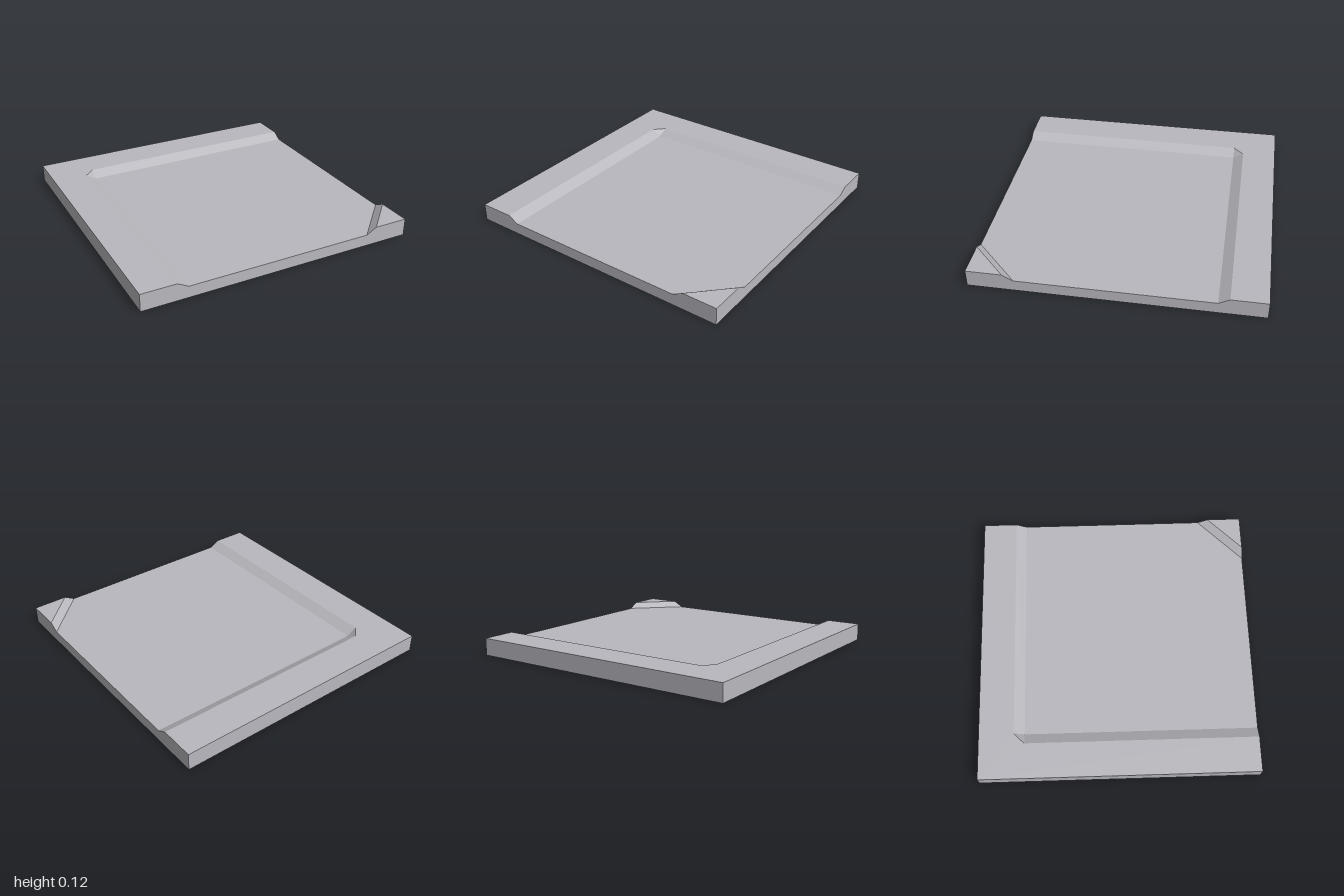
import * as THREE from 'three';

const TOP = 0.125, FLOOR = 0.083; // heights of the rim and of the sunken floor
const A = 0.675, B = 0.75;        // where the slopes start and end

const stone = new THREE.MeshStandardMaterial({ color: 0xb8b8be });
stone.name = 'grey stone';

// Height over the plan (u = x, v = -z): back and left rims, plus the cut corner
function height(u, v) {
  const d = Math.max(-u, v, u - v - 1);
  return THREE.MathUtils.lerp(FLOOR, TOP, THREE.MathUtils.clamp((d - A) / (B - A), 0, 1));
}

// Flat outline placed in space by a rule
function panel(name, outline, place) {
  const shape = new THREE.Shape(outline.map(([u, v]) => new THREE.Vector2(u, v)));
  const geo = new THREE.ShapeGeometry(shape);
  const p = geo.attributes.position;
  for (let i = 0; i < p.count; i++) p.setXYZ(i, ...place(p.getX(i), p.getY(i)));
  geo.computeVertexNormals();
  const mesh = new THREE.Mesh(geo, stone);
  mesh.name = name;
  return mesh;
}

export function createModel() {
  const tile = new THREE.Group();
  tile.name = 'floorTile';

  // Upper surfaces, drawn in plan
  const plan = {
    sunkenFloor: [[-A, -1], [A, -1], [1, -A], [1, A], [-A, A]],
    rim: [[-1, -1], [-B, -1], [-B, A], [-A, B], [1, B], [1, 1], [-1, 1]],
    raisedCorner: [[B, -1], [1, -1], [1, -B]],
    backSlope: [[-A, A], [1, A], [1, B], [-A, B]],
    leftSlope: [[-B, -1], [-A, -1], [-A, A], [-B, A]],
    innerCornerSlope: [[-B, A], [-A, A], [-A, B]],
    cornerSlope: [[A, -1], [B, -1], [1, -B], [1, -A]],
  };
  for (const [name, outline] of Object.entries(plan)) {
    tile.add(panel(name, outline, (u, v) => [u, height(u, v), -v]));
  }

  // Sides: two follow the dip, two are plain
  const dipped = [[-1, 0], [1, 0], [1, TOP], [B, TOP], [A, FLOOR], [-A, FLOOR], [-B, TOP], [-1, TOP]];
  const plain = [[-1, 0], [1, 0], [1, TOP], [-1, TOP]];
  tile.add(
    panel('frontSide', dipped, (u, v) => [u, v, 1]),
    panel('dippedSide', dipped, (u, v) => [1, v, -u]),
    panel('backSide', plain, (u, v) => [-u, v, -1]),
    panel('plainSide', plain, (u, v) => [-1, v, u]),
    panel('underside', [[-1, -1], [1, -1], [1, 1], [-1, 1]], (u, v) => [u, 0, v]),
  );
  return tile;
}
